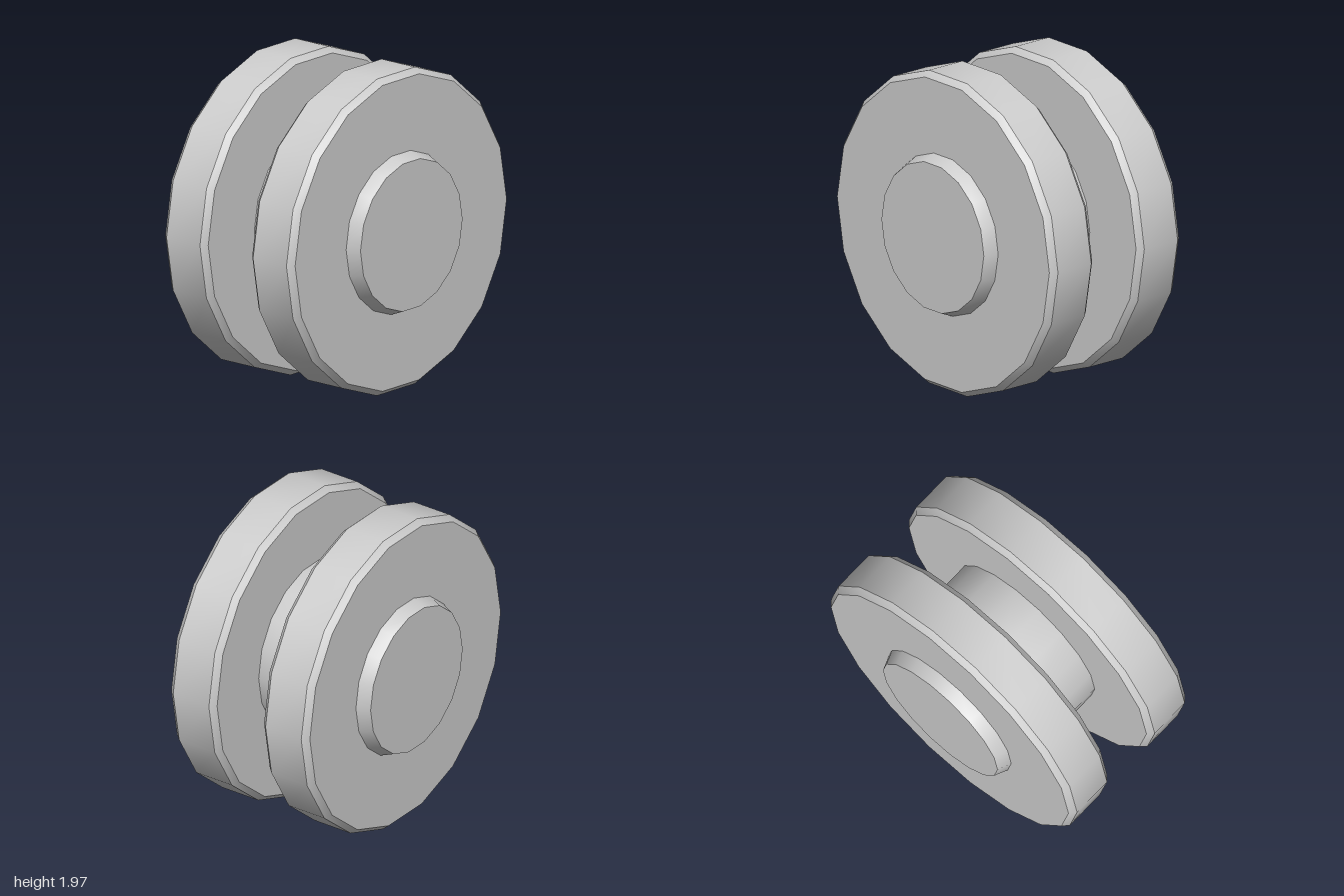
import * as THREE from 'three';
import { toCreasedNormals } from 'three/addons/utils/BufferGeometryUtils.js';

const SIDES = 18;
const AXIS_HEIGHT = 0.985;

// Revolves [radius, x] points (x ascending) around the x axis, keeping profile edges sharp.
function turned(name, profile, material) {
  const points = profile.map(([r, x]) => new THREE.Vector2(r, x));
  const lathe = new THREE.LatheGeometry(points, SIDES);
  lathe.rotateZ(-Math.PI / 2);
  const mesh = new THREE.Mesh(toCreasedNormals(lathe, Math.PI / 6), material);
  mesh.name = name;
  mesh.position.y = AXIS_HEIGHT;
  return mesh;
}

// Mirrors a profile to the other side, keeping x ascending.
const mirrored = (profile) => profile.map(([r, x]) => [r, -x]).reverse();

export function createModel() {
  const group = new THREE.Group();
  group.name = 'doubleWheel';
  const material = new THREE.MeshStandardMaterial({ color: 0xcccccc });

  // Axle with tapered hub ends
  const hubEnd = [[0.545, 0.174], [0.5, 0.513], [0.466, 0.597], [0, 0.597]];
  group.add(turned('axle', [...mirrored(hubEnd), ...hubEnd], material));

  // Two chamfered wheels, each face running just inside the axle
  const wheel = [
    [0.53, 0.174], [0.966, 0.174], [1, 0.21],
    [1, 0.474], [0.966, 0.513], [0.49, 0.513],
  ];
  group.add(turned('leftWheel', wheel, material));
  group.add(turned('rightWheel', mirrored(wheel), material));

  return group;
}
